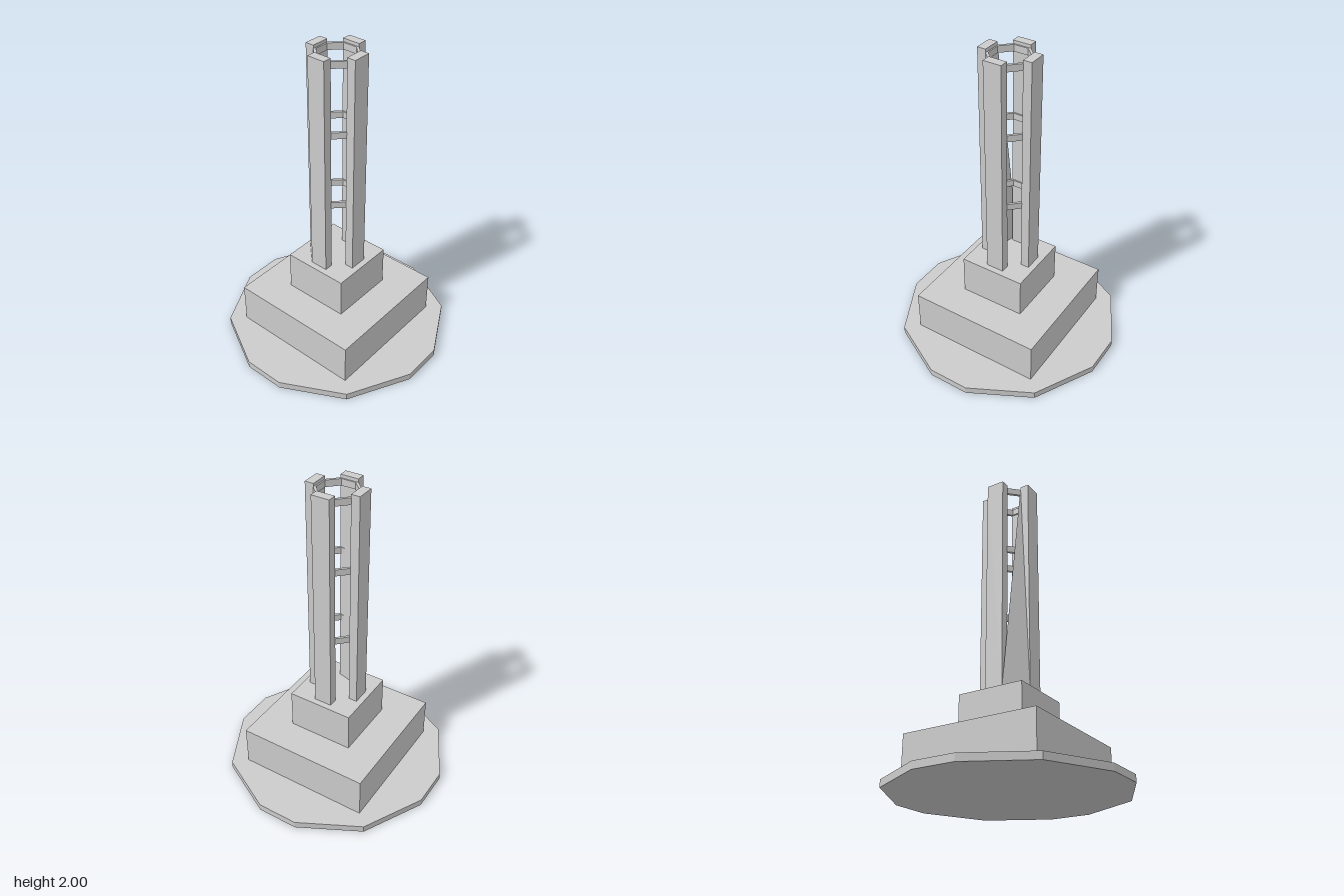
import * as THREE from 'three';

const material = new THREE.MeshStandardMaterial({ color: 0xcccccc, flatShading: true });

function addMesh(parent, name, geometry, y = 0) {
  const mesh = new THREE.Mesh(geometry, material);
  mesh.name = name;
  mesh.position.y = y;
  parent.add(mesh);
  return mesh;
}

// Flat slab: outline in x/z extruded upwards from y = 0
function slab(shape, height) {
  return new THREE.ExtrudeGeometry(shape, { depth: height, bevelEnabled: false }).rotateX(-Math.PI / 2);
}

function octagon(apothem) {
  const r = apothem / Math.cos(Math.PI / 8);
  return Array.from({ length: 8 }, (_, i) => {
    const a = Math.PI / 8 + i * Math.PI / 4;
    return new THREE.Vector2(r * Math.cos(a), r * Math.sin(a));
  });
}

export function createModel() {
  const model = new THREE.Group();
  model.name = 'tower';

  // Twelve-sided ground plate, one quarter outline turned four times
  const outline = [];
  for (let i = 0; i < 4; i++) {
    for (const [x, z] of [[0.712, 0.133], [0.513, 0.513], [0.133, 0.712]]) {
      outline.push(new THREE.Vector2(x, z).rotateAround(new THREE.Vector2(), i * Math.PI / 2));
    }
  }
  addMesh(model, 'groundPlate', slab(new THREE.Shape(outline), 0.045));

  // Stepped plinth
  addMesh(model, 'lowerPlinth', new THREE.BoxGeometry(0.87, 0.27, 0.87), 0.178);
  addMesh(model, 'upperPlinth', new THREE.BoxGeometry(0.43, 0.26, 0.43), 0.442);

  // Four pillars around the axis
  const bottom = 0.572, top = 2, height = top - bottom;
  const inner = 0.12, outer = 0.176, half = 0.058;
  const pillar = () => new THREE.BoxGeometry(height, outer - inner, half * 2)
    .rotateZ(Math.PI / 2)
    .translate(-(inner + outer) / 2, (bottom + top) / 2, 0);
  ['right', 'front', 'left', 'back'].forEach((side, i) => {
    const geometry = pillar();
    if (side === 'right') {
      // The foot of this pillar's inner rear corner is drawn out to the back pillar
      const p = geometry.attributes.position;
      for (let v = 0; v < p.count; v++) {
        if (p.getX(v) > -0.13 && p.getY(v) < 1 && p.getZ(v) < 0) p.setXYZ(v, -half, bottom, -outer);
      }
      geometry.computeVertexNormals();
    }
    addMesh(model, side + 'Pillar', geometry.rotateY(i * Math.PI / 2));
  });

  // Octagonal rings tying the pillars together
  for (const y of [1.018, 1.5, 1.938]) {
    const ring = new THREE.Shape(octagon(0.127));
    ring.holes.push(new THREE.Path(octagon(0.111)));
    addMesh(model, 'ring', slab(ring, 0.042), y);
  }
  return model;
}
